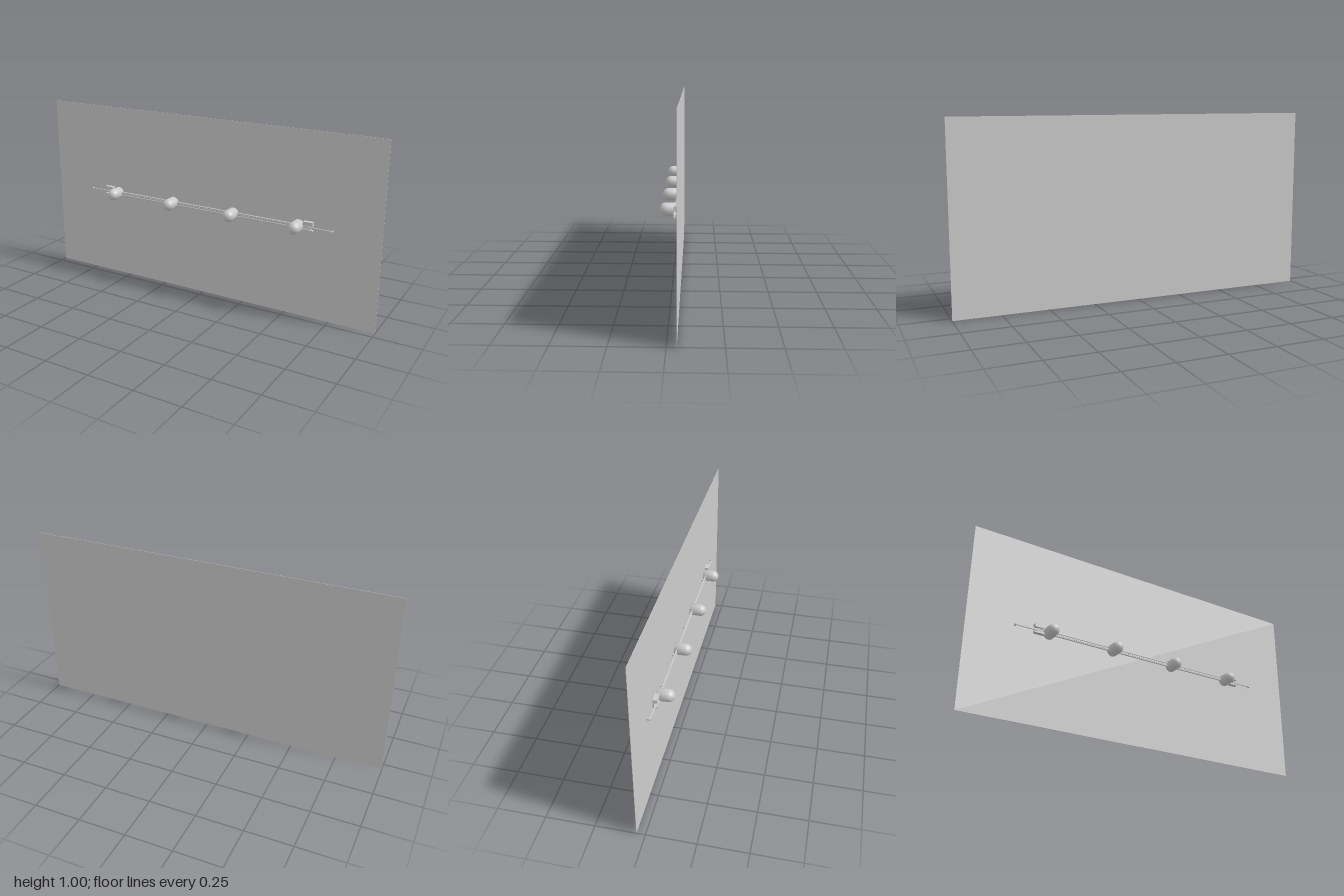
import * as THREE from 'three';

const MID = 0.502; // height of the lamp row
const BACK = -0.043; // front face of the wall panel

export function createModel() {
  const group = new THREE.Group();
  const material = new THREE.MeshStandardMaterial({ color: 0xcccccc });

  const add = (name, geometry, x, y, z) => {
    const mesh = new THREE.Mesh(geometry, material);
    mesh.name = name;
    mesh.position.set(x, y, z);
    group.add(mesh);
    return mesh;
  };
  const box = (name, w, h, d, x, y, z) => add(name, new THREE.BoxGeometry(w, h, d), x, y, z);

  // Thin wall panel
  box('wallPanel', 2, 1, 0.002, 0, 0.5, BACK - 0.001);

  // Long flat rail with two shorter cable rods above and below it
  box('rail', 1.5, 0.008, 0.006, 0, MID, -0.027);
  for (const side of [-1, 1]) {
    const rod = add('cableRod', new THREE.CylinderGeometry(0.004, 0.004, 1.26, 10), 0, MID + side * 0.008, -0.027);
    rod.rotation.z = Math.PI / 2;
  }

  // Standoffs holding the rail off the panel
  for (let i = -3; i <= 3; i++) {
    const x = i * 0.25 - Math.sign(i) * (Math.abs(i) === 3 ? 0.003 : 0);
    box('standoff', 0.006, 0.008, 0.018, x, MID, BACK + 0.008);
  }

  // Domed lamps: straight body, rounded nose, closed back
  const R = 0.032, straight = 0.057;
  const profile = [new THREE.Vector2(0, 0), new THREE.Vector2(R, 0)];
  for (let i = 0; i <= 12; i++) {
    const a = (i / 12) * Math.PI / 2;
    profile.push(new THREE.Vector2(i === 12 ? 0 : R * Math.cos(a), straight + R * Math.sin(a)));
  }
  const lampGeometry = new THREE.LatheGeometry(profile, 32);
  lampGeometry.rotateX(Math.PI / 2);
  for (let i = 0; i < 4; i++) add('lamp', lampGeometry, -0.5625 + i * 0.375, MID, -0.041);

  // End brackets: back plate with two jaws gripping the rail
  for (const side of [-1, 1]) {
    const x = side * 0.62;
    box('bracketPlate', 0.052, 0.05, 0.006, x, MID + 0.006, BACK + 0.004);
    for (const [y, h] of [[0.022, 0.018], [-0.0145, 0.009]]) {
      box('bracketJaw', 0.052, h, 0.018, x, MID + y, BACK + 0.014);
    }
    box('bracketArm', 0.05, 0.022, 0.012, side * 0.58, MID, -0.034);
  }

  return group;
}
